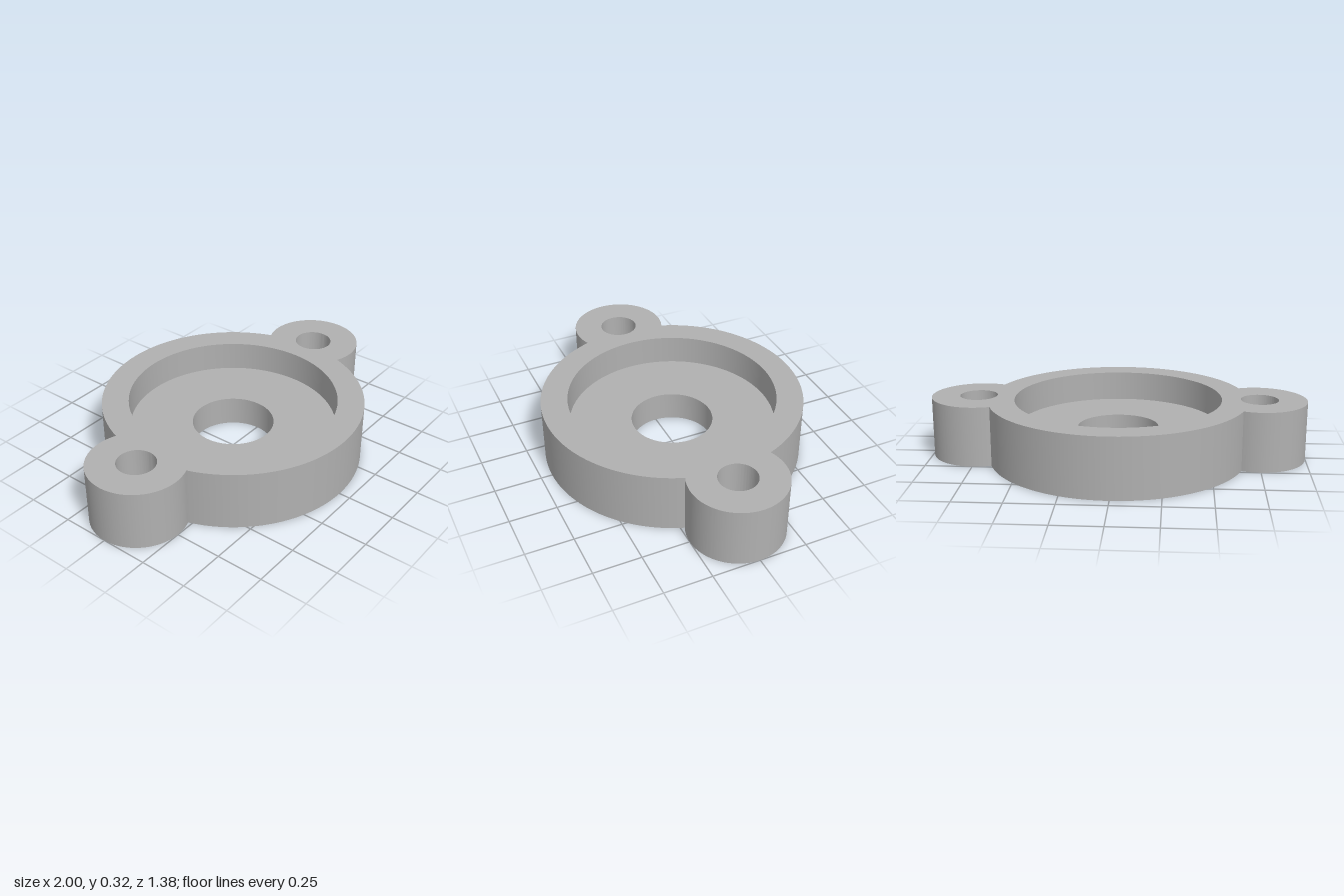
import * as THREE from 'three';
import { toCreasedNormals } from 'three/addons/utils/BufferGeometryUtils.js';

const HEIGHT = 0.32, FLOOR = 0.16;
const BODY_R = 0.69, RECESS_R = 0.55, BORE_R = 0.217;
const EAR_X = 0.75, EAR_R = 0.25, BOLT_R = 0.1;
const SEGMENTS = 96;

const circle = (x, r) => new THREE.Path().absarc(x, 0, r, 0, Math.PI * 2, false);

// Round body merged with a mounting ear on each side
function flangeOutline() {
  const x = (BODY_R ** 2 - EAR_R ** 2 + EAR_X ** 2) / (2 * EAR_X);
  const y = Math.sqrt(BODY_R ** 2 - x ** 2);
  const a = Math.atan2(y, x), b = Math.atan2(y, x - EAR_X);
  const shape = new THREE.Shape();
  for (const [side, turn] of [[1, 0], [-1, Math.PI]]) {
    shape.absarc(side * EAR_X, 0, EAR_R, turn - b, turn + b, false);
    shape.absarc(0, 0, BODY_R, turn + a, turn + Math.PI - a, false);
  }
  return shape;
}

export function createModel() {
  const group = new THREE.Group();
  group.name = 'flangedHousing';
  const grey = new THREE.MeshStandardMaterial({ color: 0xb0b0b0 });
  grey.name = 'grey';

  const add = (name, geometry) => {
    const mesh = new THREE.Mesh(toCreasedNormals(geometry, 0.5), grey);
    mesh.name = name;
    group.add(mesh);
  };

  // Outer ring with ears, bolt holes and the wide recess
  const shape = flangeOutline();
  shape.holes.push(circle(0, RECESS_R), circle(EAR_X, BOLT_R), circle(-EAR_X, BOLT_R));
  const ring = new THREE.ExtrudeGeometry(shape, {
    depth: HEIGHT, bevelEnabled: false, curveSegments: SEGMENTS,
  });
  ring.rotateX(-Math.PI / 2);
  add('flangeRing', ring);

  // Recess floor with the central bore
  const profile = [[RECESS_R, FLOOR], [BORE_R, FLOOR], [BORE_R, 0], [RECESS_R, 0]];
  add('recessFloor', new THREE.LatheGeometry(
    profile.map(([r, y]) => new THREE.Vector2(r, y)), SEGMENTS));

  return group;
}
